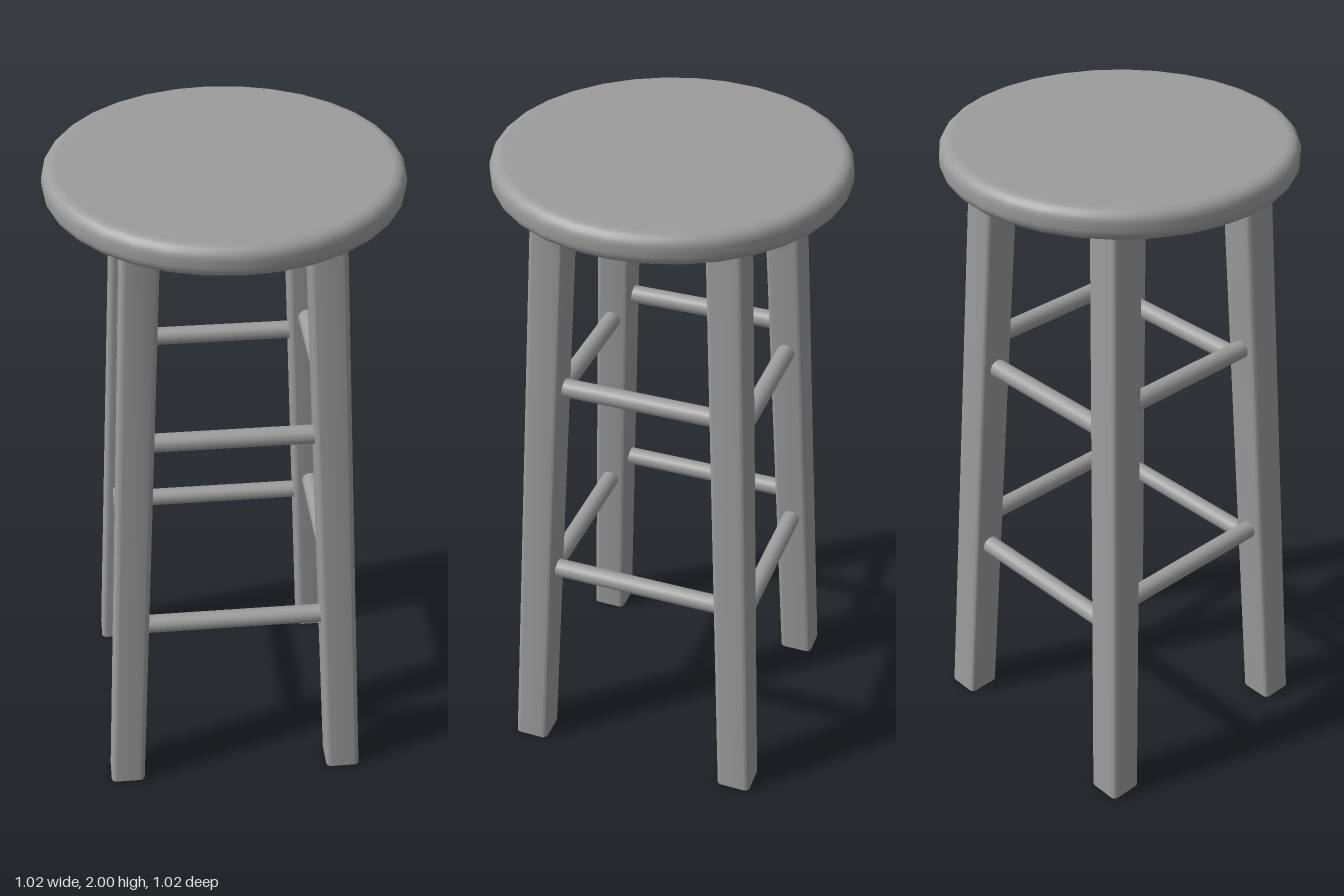
import * as THREE from 'three';
import { toCreasedNormals } from 'three/addons/utils/BufferGeometryUtils.js';

const SEAT_BOTTOM = 1.909;
const LEG_WIDTH = 0.107;
const LEG_FOOT = 0.35; // leg centre on x and z at the floor
const LEG_HEAD = 0.253; // leg centre on x and z under the seat
const legCentre = (y) => LEG_FOOT + (LEG_HEAD - LEG_FOOT) * (y / SEAT_BOTTOM);

// Square section with softened corners
function legSection() {
  const h = LEG_WIDTH / 2, r = 0.016;
  const s = new THREE.Shape();
  s.absarc(h - r, h - r, r, 0, Math.PI / 2);
  s.absarc(r - h, h - r, r, Math.PI / 2, Math.PI);
  s.absarc(r - h, r - h, r, Math.PI, Math.PI * 1.5);
  s.absarc(h - r, r - h, r, Math.PI * 1.5, Math.PI * 2);
  return s;
}

// Upright post leaned towards the seat centre, its foot flat on the floor
function legGeometry(sx, sz) {
  const geometry = new THREE.ExtrudeGeometry(legSection(), {
    depth: SEAT_BOTTOM + 0.01, bevelEnabled: false, curveSegments: 3,
  });
  geometry.rotateX(-Math.PI / 2);
  const p = geometry.attributes.position;
  for (let i = 0; i < p.count; i++) {
    const c = legCentre(p.getY(i));
    p.setX(i, p.getX(i) + sx * c);
    p.setZ(i, p.getZ(i) + sz * c);
  }
  return toCreasedNormals(geometry, 0.9);
}

// Round seat with rolled top and bottom edges
function seatGeometry() {
  const R = 0.508, r = 0.035, top = 2;
  const points = [new THREE.Vector2(0, SEAT_BOTTOM), new THREE.Vector2(R - r - 0.005, SEAT_BOTTOM)];
  const arc = (cy, from) => {
    for (let i = 0; i <= 5; i++) {
      const a = from + (i / 5) * Math.PI / 2;
      points.push(new THREE.Vector2(R - r + r * Math.cos(a), cy + r * Math.sin(a)));
    }
  };
  arc(SEAT_BOTTOM + r, -Math.PI / 2);
  arc(top - r, 0);
  points.push(new THREE.Vector2(R - r - 0.005, top), new THREE.Vector2(0, top));
  return new THREE.LatheGeometry(points, 32);
}

export function createModel() {
  const group = new THREE.Group();
  const material = new THREE.MeshStandardMaterial({ color: 0x9c9c9c });
  const add = (name, geometry) => {
    const mesh = new THREE.Mesh(geometry, material);
    mesh.name = name;
    group.add(mesh);
    return mesh;
  };

  add('seat', seatGeometry());

  // Four splayed legs, heads sunk slightly into the seat
  for (const [sx, side] of [[1, 'Left'], [-1, 'Right']]) {
    for (const [sz, end] of [[1, 'front'], [-1, 'back']]) {
      add(`${end}${side}Leg`, legGeometry(sx, sz));
    }
  }

  // Round rungs: front and back pairs sit lower than the side pairs
  for (const [y, alongX] of [[0.593, true], [1.252, true], [0.671, false], [1.33, false]]) {
    const c = legCentre(y);
    for (const s of [1, -1]) {
      const geometry = new THREE.CylinderGeometry(0.028, 0.028, 2 * c, 16);
      const name = alongX ? (s > 0 ? 'frontRung' : 'backRung') : (s > 0 ? 'leftRung' : 'rightRung');
      const rung = add(name, geometry);
      if (alongX) {
        rung.rotation.z = Math.PI / 2;
        rung.position.set(0, y, s * c);
      } else {
        rung.rotation.x = Math.PI / 2;
        rung.position.set(s * c, y, 0);
      }
    }
  }
  return group;
}
